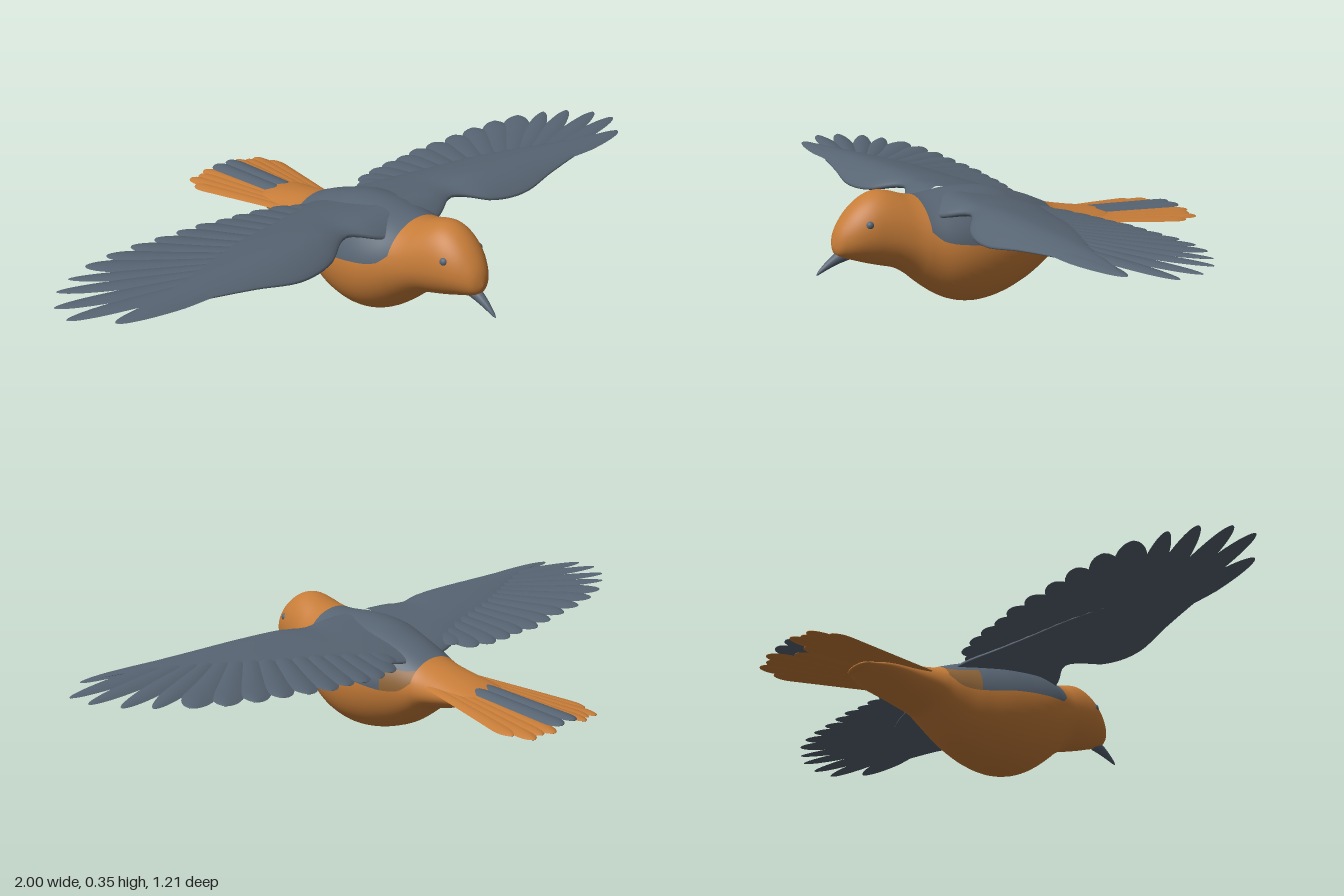
import * as THREE from 'three';

const mat = (name, color) => {
  const m = new THREE.MeshStandardMaterial({ color });
  m.name = name;
  return m;
};

// Smooth interpolation of rows [key, a, b, ...] sorted by rising key
function sample(rows, k) {
  const n = rows.length;
  if (k <= rows[0][0]) return rows[0].slice(1);
  if (k >= rows[n - 1][0]) return rows[n - 1].slice(1);
  let i = 0;
  while (k > rows[i + 1][0]) i++;
  const p = rows[i], q = rows[i + 1], h = q[0] - p[0], t = (k - p[0]) / h;
  const slope = (j, c) => {
    const a = rows[Math.max(j - 1, 0)], b = rows[Math.min(j + 1, n - 1)];
    return (b[c] - a[c]) / (b[0] - a[0]);
  };
  return p.slice(1).map((_, j) => {
    const c = j + 1;
    return (2 * t ** 3 - 3 * t * t + 1) * p[c] + (t ** 3 - 2 * t * t + t) * h * slope(i, c)
      + (3 * t * t - 2 * t ** 3) * q[c] + (t ** 3 - t * t) * h * slope(i + 1, c);
  });
}

// Grid surface from point(i, j); pick(i, j) gives the material index of a cell
function surface(name, nu, nv, point, { closed = false, flip = false, pick = () => 0, mats }) {
  const cols = closed ? nv : nv + 1, pos = [], cells = mats.map(() => []);
  for (let i = 0; i <= nu; i++) for (let j = 0; j < cols; j++) pos.push(...point(i, j));
  for (let i = 0; i < nu; i++) for (let j = 0; j < nv; j++) {
    const a = i * cols + j, b = a + cols, d = i * cols + (j + 1) % cols, c = d + cols;
    cells[pick(i, j)].push(...(flip ? [a, d, b, b, d, c] : [a, b, d, b, c, d]));
  }
  const g = new THREE.BufferGeometry();
  g.setAttribute('position', new THREE.Float32BufferAttribute(pos, 3));
  g.setIndex(cells.flat());
  let start = 0;
  cells.forEach((c, k) => { g.addGroup(start, c.length, k); start += c.length; });
  g.computeVertexNormals();
  const mesh = new THREE.Mesh(g, mats.length > 1 ? mats : mats[0]);
  mesh.name = name;
  return mesh;
}

// Cambered blade with a rounded tip; root and tip are [x, z], height(x, z) is the surface it lies on
function feather(name, root, tip, width, rootRatio, round, height, material) {
  const g = new THREE.Group();
  g.name = name;
  const dx = tip[0] - root[0], dz = tip[1] - root[1], len = Math.hypot(dx, dz), nu = 18, nv = 6;
  const blade = side => (i, j) => {
    const s = Math.sin(i / nu * Math.PI / 2), v = j / nv * 2 - 1;
    let w = width * (rootRatio + (1 - rootRatio) * Math.min(1, s / round));
    if (s > round) w *= Math.sqrt(Math.max(0, 1 - ((s - round) / (1 - round)) ** 2));
    const x = root[0] + dx * s + dz / len * w * v, z = root[1] + dz * s - dx / len * w * v;
    return [x, height(x, z) + side * (1 - v * v) * Math.min(1, w / width + 0.1), z];
  };
  g.add(surface('featherTop', nu, nv, blade(0.007), { mats: [material] }));
  g.add(surface('featherUnderside', nu, nv, blade(-0.004), { mats: [material], flip: true }));
  return g;
}

// Body sections: z, top, bottom, half width, height of the widest point
const BODY = [
  [-0.35, 0.2, 0.186, 0.05, 0.193], [-0.3, 0.216, 0.167, 0.08, 0.19], [-0.2, 0.236, 0.136, 0.09, 0.185],
  [-0.13, 0.252, 0.115, 0.098, 0.18], [-0.1, 0.265, 0.09, 0.105, 0.18], [-0.05, 0.287, 0.054, 0.12, 0.18],
  [0, 0.304, 0.03, 0.138, 0.178], [0.07, 0.325, 0.008, 0.157, 0.175], [0.14, 0.333, 0, 0.165, 0.175],
  [0.2, 0.333, 0.01, 0.163, 0.178], [0.25, 0.328, 0.033, 0.152, 0.183], [0.3, 0.326, 0.07, 0.13, 0.195],
  [0.34, 0.333, 0.105, 0.112, 0.21], [0.38, 0.346, 0.13, 0.1, 0.225], [0.42, 0.353, 0.142, 0.09, 0.235],
  [0.46, 0.341, 0.154, 0.08, 0.24], [0.5, 0.312, 0.168, 0.064, 0.235], [0.53, 0.277, 0.178, 0.044, 0.225],
  [0.545, 0.25, 0.187, 0.028, 0.217], [0.552, 0.226, 0.2, 0.01, 0.212], [0.554, 0.212, 0.212, 0, 0.212],
];
// Lower limit of the slate back patch: z, y
const PATCH = [[-0.11, 0.205], [-0.08, 0.18], [-0.04, 0.171], [0, 0.173], [0.1, 0.19], [0.2, 0.203], [0.28, 0.218], [0.31, 0.245]];
// Wing arm: x, leading z, trailing z, thickness
const ARM = [
  [0.04, 0.3, -0.08, 0.08], [0.12, 0.275, -0.06, 0.075], [0.2, 0.24, -0.02, 0.065], [0.3, 0.298, 0.02, 0.06],
  [0.42, 0.32, 0.06, 0.05], [0.55, 0.302, 0.12, 0.035], [0.7, 0.28, 0.19, 0.02], [0.85, 0.26, 0.235, 0.008], [0.9, 0.252, 0.25, 0],
];
const TIPS = [
  [0.92, 0.25], [1, 0.165], [0.992, 0.093], [0.945, 0.022], [0.885, -0.025], [0.81, -0.07], [0.73, -0.098], [0.645, -0.115],
  [0.565, -0.122], [0.485, -0.132], [0.415, -0.14], [0.35, -0.133], [0.29, -0.135], [0.23, -0.13], [0.17, -0.115], [0.135, -0.075],
];
const ROOTS = [[0, 0.52, 0.262], [0.2, 0.5, 0.23], [0.55, 0.38, 0.19], [1, 0.135, 0.13]];
// Wing surface: falls towards the back near the body, droops at the leading edge
const wingY = (x, z) => {
  const inner = 1 - Math.abs(x);
  return 0.322 - (0.02 + 0.24 * inner) * Math.max(0, 0.22 - z) - 4 * inner * Math.max(0, z - 0.2) ** 2;
};
const tailY = (x, z) => 0.212 + 0.058 * (z + 0.25) - 0.06 * Math.abs(x);

export function createModel() {
  const orange = mat('orange plumage', 0xc67c38), slate = mat('slate plumage', 0x576472);
  const brown = mat('brown flank', 0x8f6539);
  const bird = new THREE.Group();
  bird.name = 'bird';

  // Body and head, with rings placed on the colour borders
  const zs = [];
  for (let i = 0; i < 18; i++) zs.push(-0.35 + 0.24 * i / 18);
  for (let i = 0; i < 32; i++) zs.push(-0.11 + 0.42 * i / 32);
  for (let i = 0; i <= 32; i++) zs.push(0.31 + 0.244 * Math.sin(i / 32 * Math.PI / 2));
  const N = 64, Q = N / 4;
  const bodyPoint = (i, j) => {
    const z = zs[i], [top, bottom, w, yc] = sample(BODY, z), limit = sample(PATCH, z)[0];
    const d = limit - yc, ratio = d / Math.max(0.01, d > 0 ? top - yc : yc - bottom);
    const border = Math.acos(THREE.MathUtils.clamp(ratio, -0.4, 0.4));
    const k = Math.min(j, N - j);
    const a = k <= Q ? border * k / Q : border + (Math.PI - border) * (k - Q) / Q;
    const c = Math.cos(a);
    return [w * Math.sin(a) * (j > N / 2 ? -1 : 1), yc + c * (c > 0 ? top - yc : yc - bottom), z];
  };
  bird.add(surface('body', zs.length - 1, N, bodyPoint, {
    closed: true, mats: [orange, slate, brown],
    pick: (i, j) => {
      if (i < 18 || i >= 50 || (j >= Q && j < N - Q)) return 0;
      return zs[i] < -0.025 && bodyPoint(i, j + 0.5)[1] < 0.235 ? 2 : 1;
    },
  }));

  // Rounded closure at the rump
  const rump = new THREE.Mesh(new THREE.SphereGeometry(1, 20, 10), orange);
  rump.name = 'rump';
  rump.scale.set(0.05, 0.007, 0.02);
  rump.position.set(0, 0.193, -0.35);
  bird.add(rump);

  // Downturned beak
  bird.add(surface('beak', 14, 16, (i, j) => {
    const t = i / 14, a = j / 16 * Math.PI * 2, r = Math.sqrt(1 - t * t) * (1 - 0.45 * t);
    return [0.019 * r * Math.sin(a), 0.19 - 0.028 * t - 0.024 * t * t + 0.021 * r * Math.cos(a), 0.51 + 0.095 * t];
  }, { closed: true, mats: [slate] }));

  for (const s of [1, -1]) {
    const side = s > 0 ? 'left' : 'right';
    // Eye
    const eye = new THREE.Mesh(new THREE.SphereGeometry(0.012, 16, 12), slate);
    eye.name = side + 'Eye';
    eye.position.set(s * 0.064, 0.274, 0.47);
    bird.add(eye);

    // Wing arm
    const wing = new THREE.Group();
    wing.name = side + 'Wing';
    wing.add(surface('wingArm', 44, 32, (i, j) => {
      const x = 0.04 + 0.86 * i / 44, [le, te, th] = sample(ARM, x), a = j / 32 * Math.PI * 2;
      const u = (1 - Math.cos(a)) / 2, z = le + (te - le) * u, up = Math.sin(a);
      const y = wingY(x, z) - th * 0.2 * (1 - u) ** 2 + th * up * (up > 0 ? 0.32 : 0.5 * (1 - 0.6 * u));
      return [s * x, y, z];
    }, { closed: true, flip: s < 0, mats: [slate] }));

    // Flight feathers fanned along the arm
    TIPS.forEach(([x, z], i) => {
      const t = i / (TIPS.length - 1), [rx, rz] = sample(ROOTS, t), outer = i < 5;
      const lift = 0.0008 * i - 0.004;
      wing.add(feather('flightFeather', [s * rx, rz], [s * x, z], outer ? 0.033 : 0.043, 0.5,
        outer ? 0.55 : 0.78, (px, pz) => wingY(px, pz) + lift, slate));
    });
    bird.add(wing);

    // Tail feathers: orange fan with a longer slate pair over the middle
    const tail = new THREE.Group();
    tail.name = side + 'Tail';
    [[0.147, -0.535], [0.127, -0.59], [0.094, -0.588], [0.064, -0.605], [0.025, -0.54]].forEach(([x, z], i) => {
      tail.add(feather('tailFeather', [s * (0.075 - 0.014 * i), -0.17], [s * x, z], 0.027, 0.7, 0.86,
        (px, pz) => tailY(px, pz) - 0.008 + 0.001 * i, orange));
    });
    tail.add(feather('middleTailFeather', [s * 0.021, -0.27], [s * 0.026, -0.598], 0.028, 0.85, 0.88,
      (px, pz) => tailY(px, pz) + 0.002, slate));
    bird.add(tail);
  }
  return bird;
}
